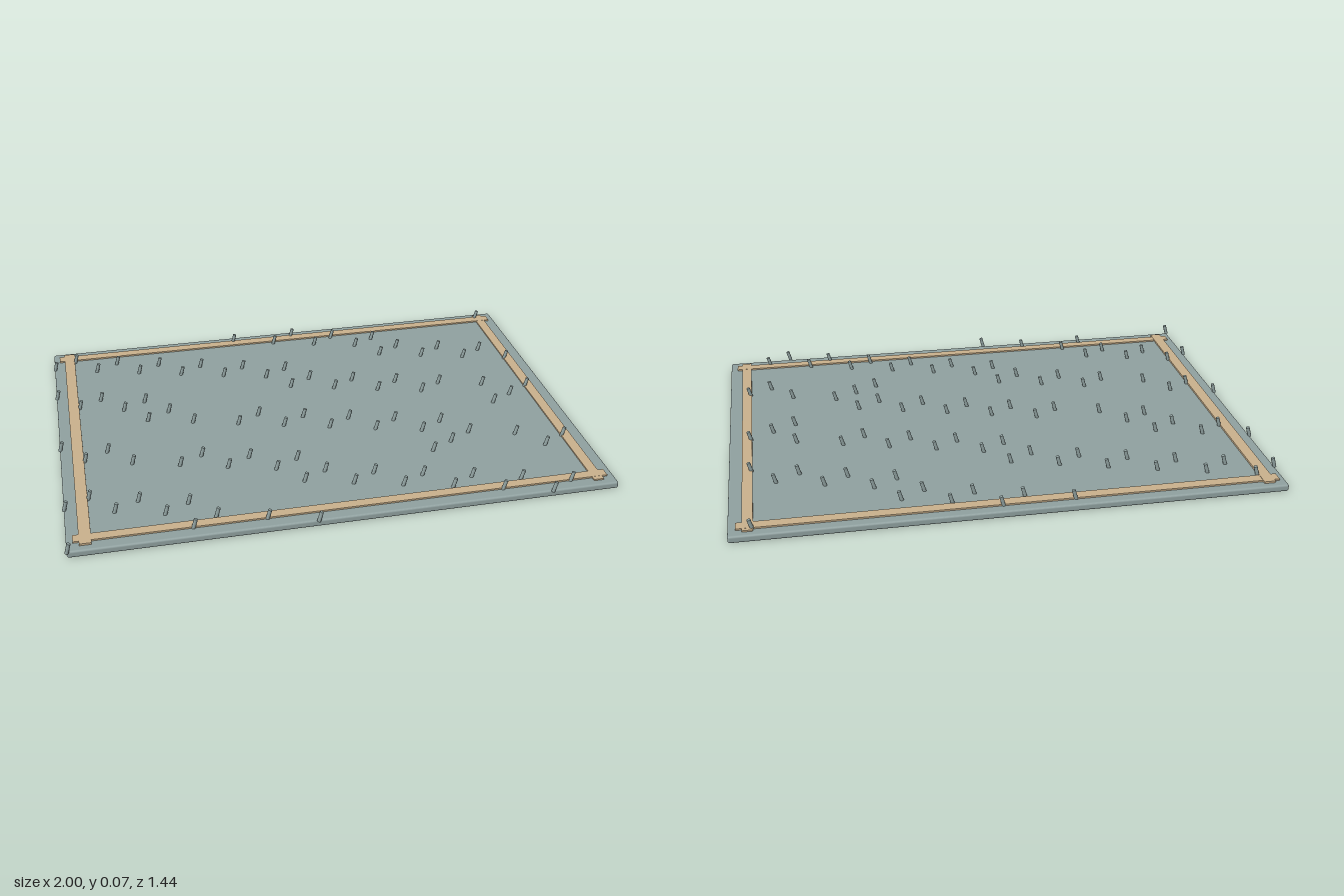
import * as THREE from 'three';
import { RoundedBoxGeometry } from 'three/addons/geometries/RoundedBoxGeometry.js';

export function createModel() {
  const model = new THREE.Group();
  model.name = 'studdedPanel';
  const slate = new THREE.MeshStandardMaterial({ name: 'slateGrey', color: 0x8fa09f });
  const tan = new THREE.MeshStandardMaterial({ name: 'tanTrim', color: 0xc9b08c });

  const add = (parent, name, geometry, material, x, y, z) => {
    const mesh = new THREE.Mesh(geometry, material);
    mesh.name = name;
    mesh.position.set(x, y, z);
    parent.add(mesh);
    return mesh;
  };

  // Thin slab with softened edges
  add(model, 'slab', new RoundedBoxGeometry(1.99, 0.027, 1.43, 3, 0.008), slate, 0.002, 0.0135, -0.006);

  // Four overlapping trim rails, sunk into the slab
  const trim = new THREE.Group();
  trim.name = 'trim';
  model.add(trim);
  const rail = (name, x0, x1, z0, z1, top) =>
    add(trim, name, new THREE.BoxGeometry(x1 - x0, top - 0.015, z1 - z0), tan,
      (x0 + x1) / 2, (top + 0.015) / 2, (z0 + z1) / 2);
  rail('backRail', -0.97, 0.97, -0.683, -0.643, 0.033);
  rail('frontRail', -0.97, 0.97, 0.625, 0.663, 0.033);
  rail('rightRail', -0.949, -0.907, -0.697, 0.682, 0.0345);
  rail('leftRail', 0.911, 0.949, -0.697, 0.682, 0.0325);

  // Leaning pins: occupied columns for each row, from back to front
  const rows = [
    [9, 12, 22], [1, 11, 14], [0, 3, 13, 16], [2, 5, 15], [4, 7, 17],
    [6, 9, 16, 19], [8, 11, 18, 21], [0, 10, 20], [2, 12, 22], [1, 4, 11, 14],
    [3, 13, 16], [5, 15, 18], [4, 17, 20], [6, 9, 22], [8, 11, 21],
    [0, 10, 13, 20], [2, 12, 15], [1, 14, 17], [3, 6, 16], [5, 8, 18],
    [7, 10, 17, 20], [9, 16, 22], [1, 11, 21], [0, 3, 10, 13], [2, 5, 12, 15],
    [4, 14, 17], [6, 16, 19], [5, 8, 18, 21], [0, 10, 20],
  ];
  const pins = new THREE.Group();
  pins.name = 'pins';
  model.add(pins);
  const pinShape = new THREE.CylinderGeometry(0.007, 0.007, 0.04, 10);
  rows.forEach((columns, row) => columns.forEach((column) => {
    const pin = add(pins, 'pin', pinShape, slate, -0.987 + column * 0.0866, 0.044, -0.68 + row * 0.0497);
    pin.rotation.z = -0.27;
  }));

  return model;
}
